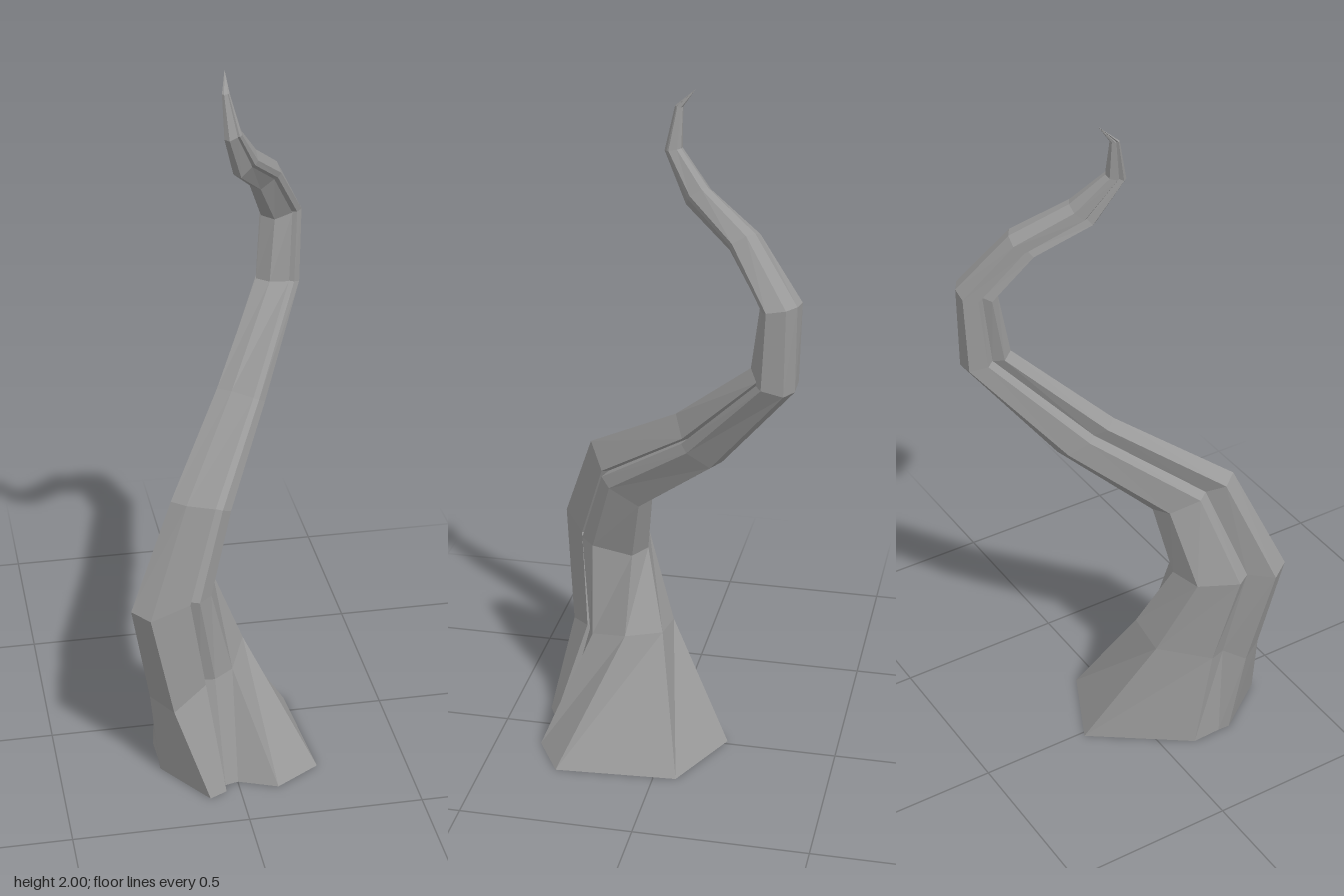
import * as THREE from 'three';

// Lobed, grooved cross-section: p runs from the front edge (-1) to the rear edge (+1), q across
const SECTION = [
  [-0.85, -0.6], [-1, 0.13], [-0.18, 0.66], [-0.12, 0.4], [-0.04, 0.84], [0.3, 0.92],
  [1, 0.4], [0.95, -0.3], [0.5, -1], [-0.24, -0.9], [-0.35, -0.45],
];

// Flared root footprint, in the same order: s along the bending plane, t across it
const ROOT = [
  [-0.3, -0.04], [-0.365, 0.154], [-0.315, 0.18], [-0.29, 0.165], [-0.26, 0.19], [-0.23, 0.304],
  [-0.09, 0.363], [0.18, 0.136], [0.133, -0.115], [-0.2, -0.115], [-0.27, -0.06],
];

// Rings up the horn: front s, front y, rear s, rear y, half width, sideways shift, root flare
const RINGS = [
  [-0.38, 0, 0.18, 0, 0.1, 0, 1],
  [-0.38, 0.27, -0.06, 0.36, 0.09, 0.005, 0.22],
  [-0.445, 0.6, -0.115, 0.58, 0.1, 0, 0],
  [-0.287, 0.89, -0.055, 0.77, 0.078, 0.035, 0],
  [0.05, 1.08, 0.21, 0.975, 0.07, 0.01, 0],
  [0.33, 1.3, 0.47, 1.265, 0.066, -0.003, 0],
  [0.36, 1.48, 0.472, 1.505, 0.064, -0.003, 0],
  [0.25, 1.61, 0.325, 1.67, 0.05, 0.005, 0],
  [0.095, 1.7, 0.165, 1.76, 0.036, 0.02, 0],
  [0.015, 1.83, 0.07, 1.845, 0.024, 0.025, 0],
  [0.03, 1.95, 0.056, 1.95, 0.01, 0.003, 0],
  [0.083, 2, 0.083, 2, 0, -0.02, 0],
];

// Turn bending-plane coordinates into x, y, z
const place = (s, t, y) => [0.59 * s + 0.81 * t, y, -0.81 * s + 0.59 * t];

function ringPoints([s0, y0, s1, y1, width, shift, flare]) {
  return SECTION.map(([p, q], i) => {
    const k = (p + 1) / 2;
    const s = THREE.MathUtils.lerp(s0 + (s1 - s0) * k, ROOT[i][0], flare);
    const t = THREE.MathUtils.lerp(shift + q * width, ROOT[i][1], flare);
    return place(s, t, y0 + (y1 - y0) * k);
  });
}

function hornGeometry() {
  const n = SECTION.length;
  const positions = RINGS.flatMap((ring) => ringPoints(ring).flat());
  const index = [];
  for (let r = 0; r < RINGS.length - 1; r++) {
    for (let i = 0; i < n; i++) {
      const a = r * n + i;
      const b = r * n + ((i + 1) % n);
      index.push(a, b, b + n);
      // The last ring is a single point, so it needs no second triangle
      if (r < RINGS.length - 2) index.push(a, b + n, a + n);
    }
  }
  const geometry = new THREE.BufferGeometry();
  geometry.setAttribute('position', new THREE.Float32BufferAttribute(positions, 3));
  geometry.setIndex(index);
  const faceted = geometry.toNonIndexed();
  faceted.computeVertexNormals();
  return faceted;
}

export function createModel() {
  const model = new THREE.Group();
  model.name = 'curvedHorn';
  // Hollow at the root, so both sides show
  const material = new THREE.MeshStandardMaterial({
    color: 0x999999, flatShading: true, side: THREE.DoubleSide,
  });
  const horn = new THREE.Mesh(hornGeometry(), material);
  horn.name = 'horn';
  model.add(horn);
  return model;
}
